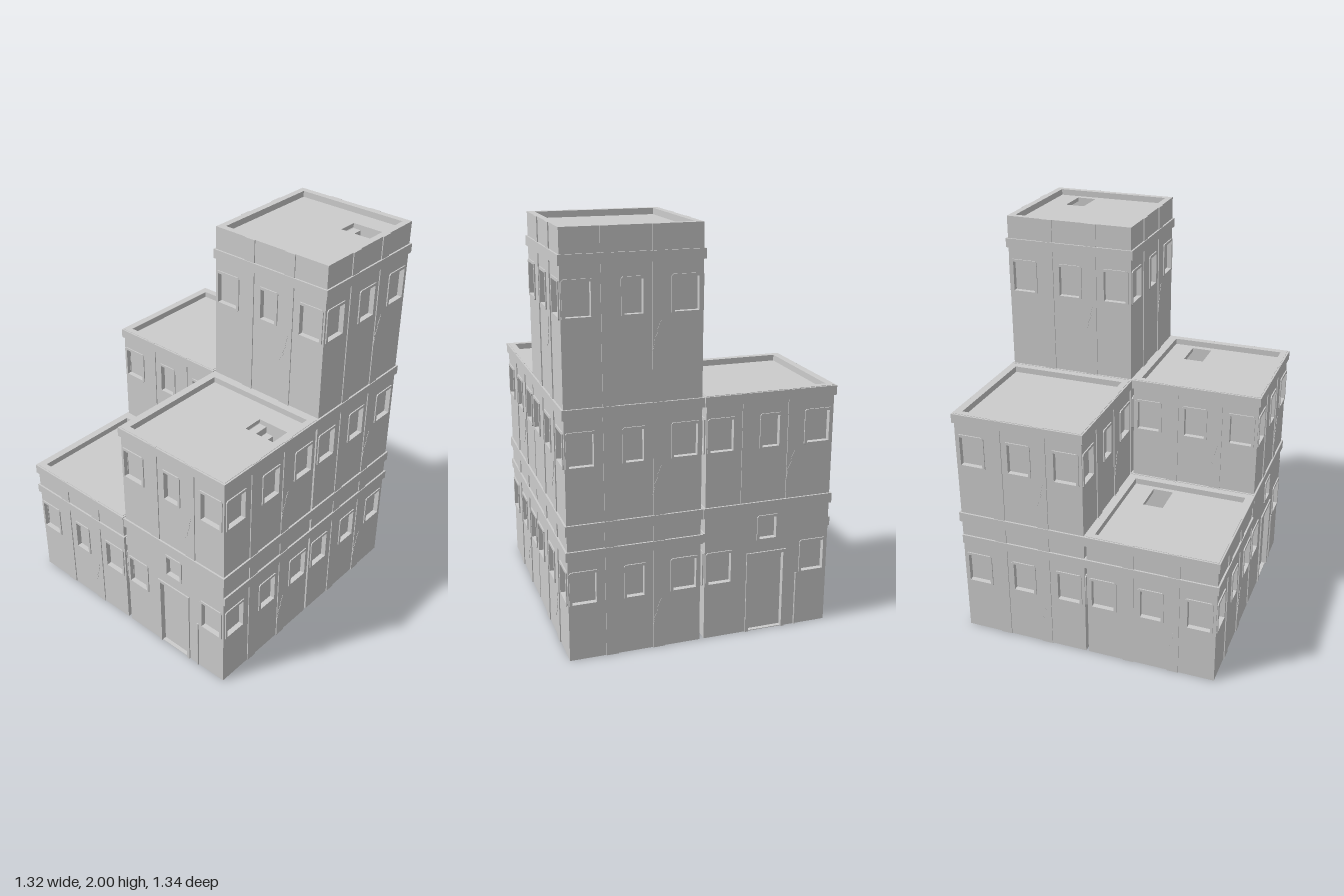
import * as THREE from 'three';

const mat = new THREE.MeshStandardMaterial({ color: 0xcccccc, flatShading: true });
const HX = 0.32, HZ = 0.326;      // half size of one block
const SKIN = 0.02, CORE = 0.012;  // outer panel and inner shell thickness

const STOREYS = [
  { y0: 0, y1: 0.68, win: [0.285, 0.435], bands: [[0.505, 0.55], [0.628, 0.678]] },
  { y0: 0.68, y1: 1.22, win: [0.95, 1.1], bands: [[1.172, 1.218]] },
  { y0: 1.22, y1: 2, win: [1.62, 1.77], bands: [[1.842, 1.888]] },
];

// hatch: x0, x1, z0, z1
const BLOCKS = [
  { name: 'frontRightOfPlan', x: 0.328, z: 0.333, floors: 2, door: 0, hatch: [0.42, 0.585, 0.145, 0.25], stairs: true },
  { name: 'tower', x: 0.328, z: -0.333, floors: 3, hatch: [0.42, 0.585, -0.52, -0.42], stairs: true },
  { name: 'lowBlock', x: -0.334, z: 0.333, floors: 1, hatch: [-0.235, -0.07, 0.145, 0.25] },
  { name: 'rearBlock', x: -0.334, z: -0.333, floors: 2, door: 2 },
];

function add(parent, name, geo, x = 0, y = 0, z = 0) {
  const m = new THREE.Mesh(geo, mat);
  m.name = name;
  m.position.set(x, y, z);
  parent.add(m);
  return m;
}

function trace(path, x0, y0, x1, y1) {
  path.moveTo(x0, y0);
  path.lineTo(x1, y0);
  path.lineTo(x1, y1);
  path.lineTo(x0, y1);
  path.closePath();
  return path;
}

// Rectangular plate with rectangular holes; faces +z
function plate(rect, holes, depth) {
  const s = trace(new THREE.Shape(), ...rect);
  for (const h of holes) s.holes.push(trace(new THREE.Path(), ...h));
  return new THREE.ExtrudeGeometry(s, { depth, bevelEnabled: false });
}

// Frame with chamfered outer corners around an opening
function frameGeo([x0, y0, x1, y1], b, depth) {
  const c = b * 0.6, s = new THREE.Shape();
  const X0 = x0 - b, X1 = x1 + b, Y0 = y0 - b, Y1 = y1 + b;
  [[X0 + c, Y0], [X1 - c, Y0], [X1, Y0 + c], [X1, Y1 - c], [X1 - c, Y1], [X0 + c, Y1], [X0, Y1 - c], [X0, Y0 + c]]
    .forEach(([x, y], i) => (i ? s.lineTo(x, y) : s.moveTo(x, y)));
  s.holes.push(trace(new THREE.Path(), x0, y0, x1, y1));
  return new THREE.ExtrudeGeometry(s, { depth, bevelEnabled: false });
}

// Small jagged crack in the plaster
function crackGeo() {
  const s = new THREE.Shape();
  [[-0.022, 0], [-0.012, 0.035], [-0.016, 0.045], [0.004, 0.085], [0, 0.095], [0.02, 0.14],
    [0.008, 0.092], [0.012, 0.082], [-0.006, 0.045], [-0.002, 0.035]]
    .forEach(([x, y], i) => (i ? s.lineTo(x, y) : s.moveTo(x, y)));
  return new THREE.ExtrudeGeometry(s, { depth: 0.003, bevelEnabled: false });
}

// One outside face of a storey, local z = 0 on the wall surface
function makeFace(st, side, hasDoor) {
  const g = new THREE.Group();
  const zFace = side % 2 === 0;
  const half = zFace ? HX : HZ;
  const pw = zFace ? half : half - SKIN;
  const mid = zFace ? 0.0425 : 0.0525;
  const [w0, w1] = st.win;
  const windows = [[-0.302, w0, -0.188, w1], [0.185, w0, 0.298, w1]];
  windows.push(hasDoor ? [-0.0425, 0.485, 0.0425, 0.592] : [-mid, w0, mid, w1]);
  const holes = [...windows];
  const door = [-0.09, 0.003, 0.085, 0.4];
  if (hasDoor) holes.push(door);
  add(g, 'wallPanel', plate([-pw, st.y0, pw, st.y1], holes, SKIN), 0, 0, -SKIN);
  for (const w of windows) add(g, 'windowFrame', frameGeo(w, 0.013, 0.026), 0, 0, -SKIN);

  // pilasters stop below the lowest band and continue above it
  const h = st.y1 - st.y0;
  for (const u of [-0.115, 0.115]) {
    if (hasDoor) continue;
    add(g, 'pilaster', new THREE.BoxGeometry(0.058, h, 0.006), u, st.y0 + h / 2, 0.002);
  }
  if (hasDoor) {
    for (const u of [-0.098, 0.093])
      add(g, 'doorJamb', new THREE.BoxGeometry(0.016, 0.416, 0.008), u, 0.208, 0.003);
    add(g, 'doorLintel', new THREE.BoxGeometry(0.175, 0.016, 0.008), -0.0025, 0.408, 0.003);
    add(g, 'drainPipe', new THREE.CylinderGeometry(0.005, 0.005, 0.28, 8), 0.157, 0.14, 0.003);
  }
  const bands = hasDoor ? st.bands.slice(-1) : st.bands;
  const bw = zFace ? half + 0.009 : half;
  for (const [b0, b1] of bands)
    add(g, 'band', new THREE.BoxGeometry(2 * bw, b1 - b0, 0.013), 0, (b0 + b1) / 2, 0.0025);
  if (!hasDoor) add(g, 'crack', crackGeo(), 0.105, w0 - 0.17, 0.004);

  g.rotation.y = side * Math.PI / 2;
  const d = zFace ? HZ : HX;
  g.position.set(zFace ? 0 : d * (side === 1 ? 1 : -1), 0, zFace ? d * (side === 0 ? 1 : -1) : 0);
  g.name = ['front', 'left', 'back', 'right'][side] + 'Face';
  return g;
}

function makeBlock(b) {
  const block = new THREE.Group();
  block.name = b.name;
  block.position.set(b.x, 0, b.z);
  const ix = HX - SKIN, iz = HZ - SKIN;
  for (let f = 0; f < b.floors; f++) {
    const st = STOREYS[f], isTop = f === b.floors - 1;
    const storey = new THREE.Group();
    storey.name = 'storey' + (f + 1);
    // inner shell, which also backs the window recesses
    const shell = plate([-ix, -iz, ix, iz], [[-ix + CORE, -iz + CORE, ix - CORE, iz - CORE]], st.y1 - st.y0);
    add(storey, 'innerShell', shell.rotateX(-Math.PI / 2), 0, st.y0, 0);
    // roof or floor slab, sunk below the parapet
    const holes = [];
    if (isTop && b.hatch) {
      const [x0, x1, z0, z1] = b.hatch;
      holes.push([x0 - b.x, b.z - z1, x1 - b.x, b.z - z0]);
    }
    const slab = plate([-ix, -iz, ix, iz].map(v => v * 0.97), holes, 0.02);
    add(storey, isTop ? 'roof' : 'floor', slab.rotateX(-Math.PI / 2), 0, st.y1 - 0.05, 0);
    // steps below the hatch
    if (isTop && b.stairs) {
      const [x0, x1, z0, z1] = b.hatch, w = (x1 - x0) / 4;
      for (let i = 0; i < 4; i++)
        add(storey, 'step', new THREE.BoxGeometry(w, 0.04, z1 - z0),
          x0 + w * (i + 0.5) - b.x, st.y1 - 0.075 - i * 0.035, (z0 + z1) / 2 - b.z);
    }
    for (let s = 0; s < 4; s++) storey.add(makeFace(st, s, f === 0 && b.door === s));
    block.add(storey);
  }
  return block;
}

export function createModel() {
  const model = new THREE.Group();
  model.name = 'blockBuilding';
  for (const b of BLOCKS) model.add(makeBlock(b));
  return model;
}
